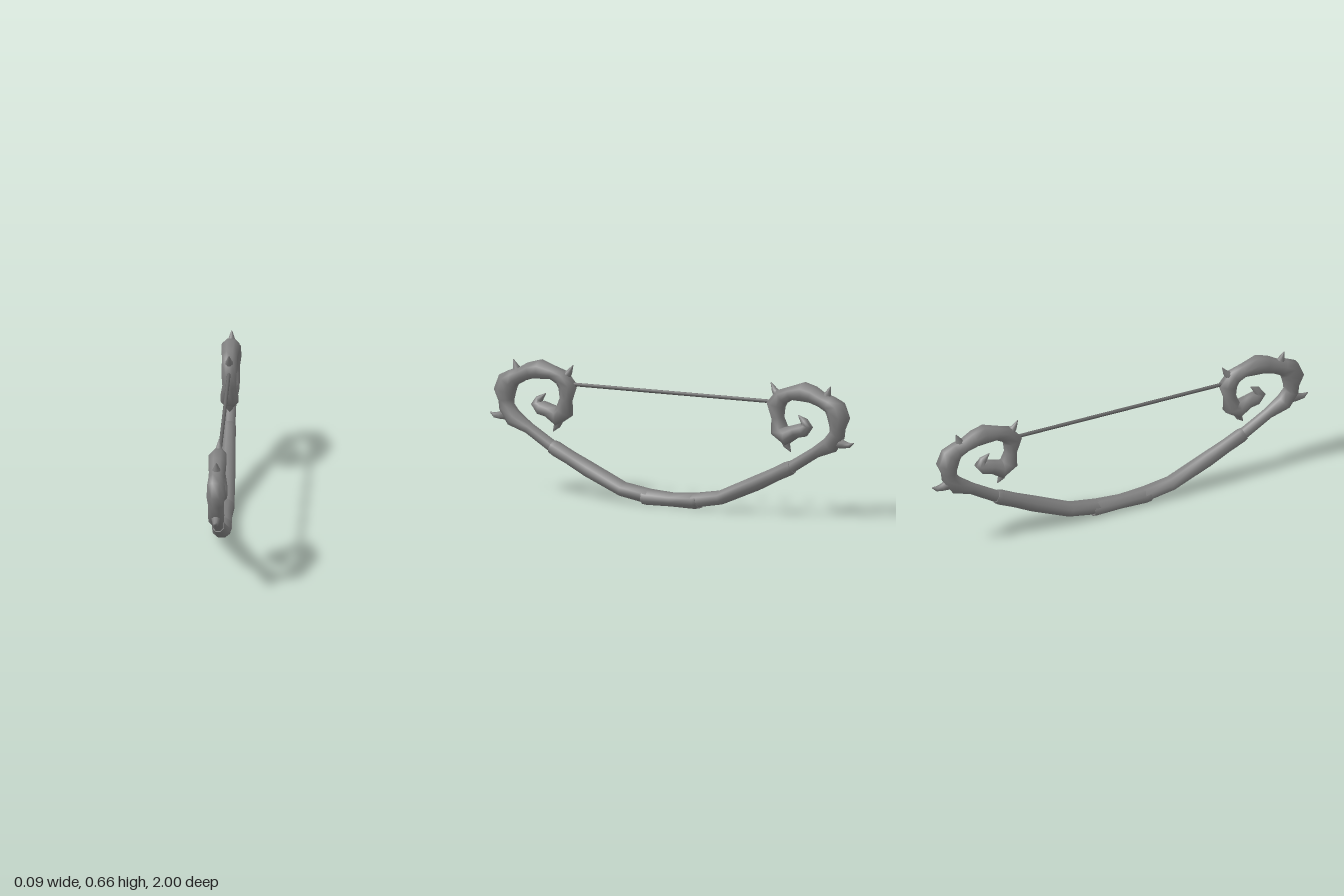
import * as THREE from 'three';

const SIDES = 8;
const MAX_HALF_WIDTH = 0.044;
const material = new THREE.MeshStandardMaterial({ color: 0x808080 });
const stringMaterial = new THREE.MeshStandardMaterial({ color: 0x686868 });

// Sweeps an octagon along points [z, y, radius, optional half width in x], with capped ends.
function sweep(name, points) {
  const positions = [];
  const index = [];
  const X = new THREE.Vector3(1, 0, 0);
  const centres = points.map(([z, y]) => new THREE.Vector3(0, y, z));
  const last = points.length - 1;

  const rings = points.map(([, , r, rx = Math.min(r, MAX_HALF_WIDTH)], i) => {
    const tangent = centres[Math.min(i + 1, last)].clone().sub(centres[Math.max(i - 1, 0)]).normalize();
    const normal = tangent.cross(X);
    const ring = [];
    for (let j = 0; j < SIDES; j++) {
      const a = ((j + 0.5) / SIDES) * Math.PI * 2;
      const k = 1 / Math.cos(Math.PI / SIDES); // flats sit at the given radius
      ring.push(centres[i].clone()
        .addScaledVector(X, Math.cos(a) * rx * k)
        .addScaledVector(normal, Math.sin(a) * r * k));
    }
    return ring;
  });

  // Skin
  rings.forEach((ring) => ring.forEach((p) => positions.push(p.x, p.y, p.z)));
  for (let i = 0; i < last; i++) {
    for (let j = 0; j < SIDES; j++) {
      const a = i * SIDES + j;
      const b = i * SIDES + ((j + 1) % SIDES);
      index.push(a, b, a + SIDES, b, b + SIDES, a + SIDES);
    }
  }

  // Caps have their own vertices so the rims stay crisp
  for (const i of [0, last]) {
    const start = positions.length / 3;
    for (const p of [centres[i], ...rings[i]]) positions.push(p.x, p.y, p.z);
    for (let j = 0; j < SIDES; j++) {
      const a = start + 1 + j;
      const b = start + 1 + ((j + 1) % SIDES);
      if (i === 0) index.push(start, b, a);
      else index.push(start, a, b);
    }
  }

  const geometry = new THREE.BufferGeometry();
  geometry.setAttribute('position', new THREE.Float32BufferAttribute(positions, 3));
  geometry.setIndex(index);
  geometry.computeVertexNormals();
  const mesh = new THREE.Mesh(geometry, material);
  mesh.name = name;
  return mesh;
}

// One half of the bow, towards +z
function createHalf() {
  const half = new THREE.Group();

  half.add(sweep('sleeve', [
    [0.12, 0.042, 0.034, 0.042],
    [0.27, 0.067, 0.033, 0.041],
    [0.46, 0.15, 0.036, 0.036],
    [0.56, 0.198, 0.033, 0.031],
    [0.64, 0.236, 0.035, 0.03],
    [0.66, 0.246, 0.031, 0.028],
  ]));

  // Slim limb rising into the knobbly scroll, ending in a hooked point
  half.add(sweep('scrollLimb', [
    [0.6, 0.215, 0.027],
    [0.67, 0.253, 0.027, 0.026],
    [0.786, 0.324, 0.026],
    [0.87, 0.367, 0.04, 0.038],
    [0.908, 0.42, 0.036, 0.037],
    [0.91, 0.452, 0.036, 0.037],
    [0.918, 0.498, 0.052, 0.044],
    [0.9, 0.545, 0.051, 0.042],
    [0.868, 0.566, 0.04, 0.037],
    [0.825, 0.583, 0.034, 0.037],
    [0.775, 0.606, 0.04, 0.042],
    [0.725, 0.616, 0.045, 0.044],
    [0.655, 0.604, 0.032, 0.036],
    [0.605, 0.584, 0.038, 0.036],
    [0.572, 0.541, 0.045, 0.036],
    [0.582, 0.48, 0.029, 0.032],
    [0.591, 0.42, 0.042, 0.042],
    [0.63, 0.394, 0.044, 0.042],
    [0.68, 0.42, 0.032, 0.034],
    [0.721, 0.43, 0.034, 0.033],
    [0.744, 0.449, 0.026, 0.026],
    [0.729, 0.47, 0.018, 0.019],
    [0.694, 0.5, 0.002],
  ]));

  // Thorns: root, bend and tip
  const thorns = [
    [[0.85, 0.575, 0.028], [0.856, 0.615, 0.016], [0.872, 0.652, 0.002]],
    [[0.595, 0.58, 0.026], [0.564, 0.612, 0.014], [0.544, 0.648, 0.002]],
    [[0.885, 0.39, 0.034, 0.026], [0.945, 0.375, 0.018, 0.016], [0.975, 0.374, 0.012], [0.999, 0.386, 0.002]],
    [[0.622, 0.39, 0.028], [0.632, 0.346, 0.015], [0.653, 0.319, 0.002]],
  ];
  thorns.forEach((t, i) => half.add(sweep(`thorn${i + 1}`, t)));
  return half;
}

export function createModel() {
  const bow = new THREE.Group();
  bow.name = 'bow';

  bow.add(sweep('grip', [
    [-0.15, 0.043, 0.037, 0.044],
    [-0.13, 0.04, 0.037, 0.044],
    [0, 0.037, 0.032, 0.038],
    [0.13, 0.04, 0.037, 0.044],
    [0.15, 0.043, 0.037, 0.044],
  ]));

  for (const [name, turn] of [['frontHalf', 0], ['backHalf', Math.PI]]) {
    const half = createHalf();
    half.name = name;
    half.rotation.y = turn;
    bow.add(half);
  }

  // Bowstring between the scrolls
  const string = new THREE.Mesh(new THREE.CylinderGeometry(0.009, 0.009, 1.1, 8), stringMaterial);
  string.name = 'bowstring';
  string.rotation.x = Math.PI / 2;
  string.position.y = 0.555;
  bow.add(string);

  return bow;
}
